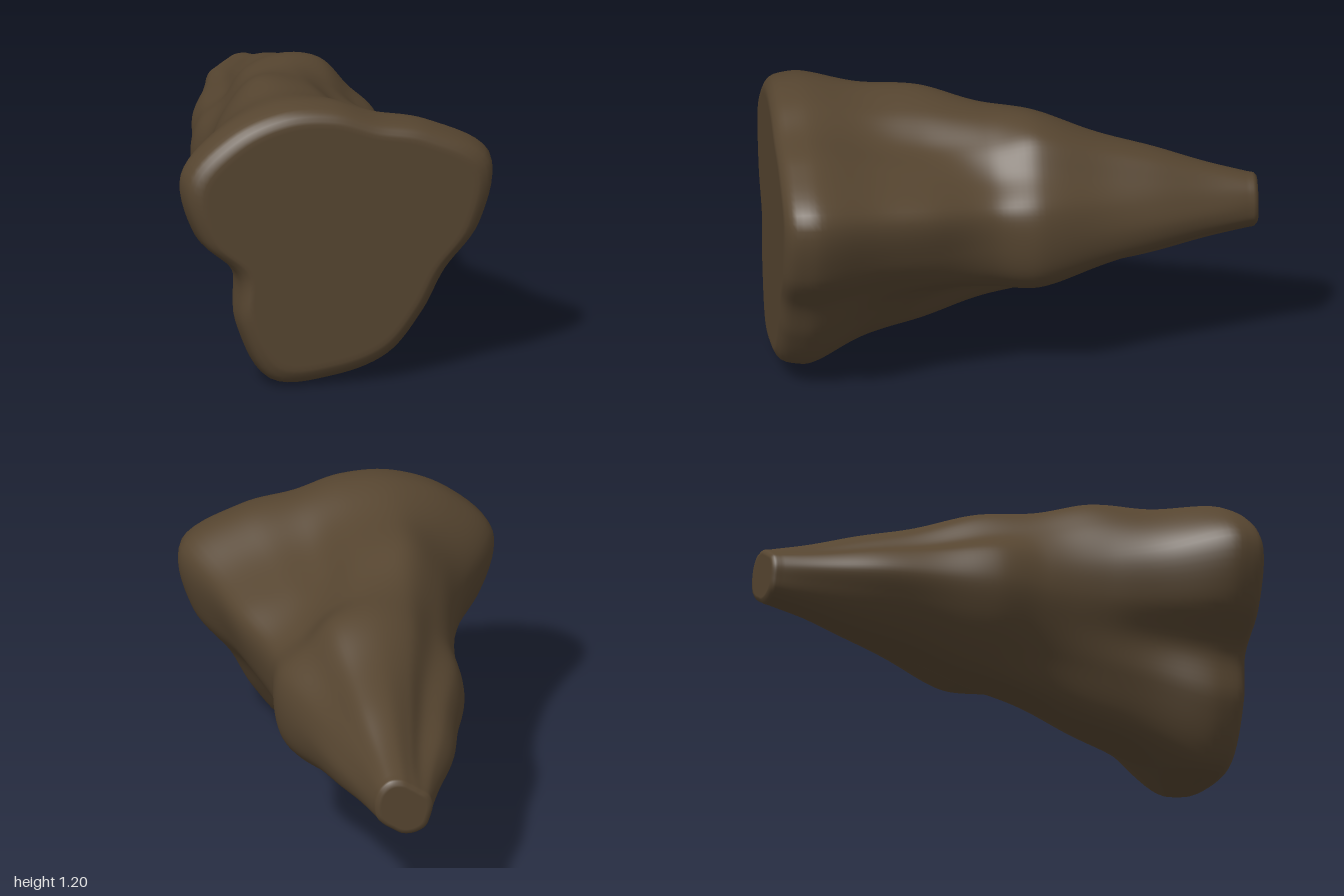
import * as THREE from 'three';

const AXIS_X = -0.03, AXIS_Y = 0.65, SIDES = 112;

// Radii around the long axis, every 22.5 degrees from +x, at stations along z
const sections = [
  { z: -0.97, radii: [.115, .12, .13, .135, .125, .11, .11, .125, .13, .13, .14, .135, .125, .11, .11, .115] },
  { z: -0.55, radii: [.25, .245, .25, .278, .265, .225, .2, .25, .275, .25, .24, .235, .225, .18, .205, .24] },
  { z: -0.1, radii: [.4, .41, .385, .425, .42, .395, .34, .37, .375, .36, .355, .363, .335, .27, .345, .39] },
  { z: 0.12, radii: [.405, .43, .38, .4, .445, .46, .41, .395, .38, .37, .385, .43, .395, .3, .345, .385] },
  { z: 0.4, radii: [.465, .538, .435, .385, .46, .53, .49, .445, .395, .37, .42, .51, .48, .36, .345, .4] },
  { z: 0.87, radii: [.625, .725, .6, .515, .54, .587, .635, .675, .565, .44, .555, .685, .635, .6, .535, .515] },
];

// Smooth change of the radii from station to station, with shallow ripples along the length
function radiiAt(z) {
  const last = sections.length - 1;
  const zc = THREE.MathUtils.clamp(z, sections[0].z, sections[last].z);
  let i = 0;
  while (i < last - 1 && zc > sections[i + 1].z) i++;
  const p = sections[i], q = sections[i + 1], h = q.z - p.z;
  const t = (zc - p.z) / h, t2 = t * t, t3 = t2 * t;
  const slope = (k, c) => {
    const a = sections[Math.max(k - 1, 0)], b = sections[Math.min(k + 1, last)];
    return (k === last ? 0.5 : 1) * (b.radii[c] - a.radii[c]) / (b.z - a.z);
  };
  const ripple = 1 - 0.017 * (1 - Math.cos(2 * Math.PI * (zc + 0.1) / 0.48));
  return p.radii.map((r, c) => ripple * ((2 * t3 - 3 * t2 + 1) * r + (t3 - 2 * t2 + t) * h * slope(i, c)
    + (3 * t2 - 2 * t3) * q.radii[c] + (t3 - t2) * h * slope(i + 1, c)));
}

// Closed ring at z; the rims of both ends are rounded over
function ringAt(z, scale = 1) {
  const f = Math.max(0, (z - 0.83) / 0.17), b = Math.max(0, (-z - 0.95) / 0.05);
  const rim = scale * (1 - 0.04 * f ** 2 - 0.08 * f ** 10 - 0.14 * b ** 6);
  const points = radiiAt(z).map((r, i) => {
    const a = i * Math.PI / 8;
    return new THREE.Vector3(AXIS_X + r * rim * Math.cos(a), AXIS_Y + r * rim * Math.sin(a), z);
  });
  const curve = new THREE.CatmullRomCurve3(points, true, 'catmullrom', 0.5);
  return Array.from({ length: SIDES }, (_, j) => curve.getPoint(j / SIDES));
}

export function createModel() {
  const rings = [];

  // Front cap, front rim, body, tip rim, back cap
  for (const s of [0, 0.4, 0.8, 0.96]) rings.push(ringAt(1, s));
  for (const z of [1, 0.995, 0.985, 0.97, 0.95]) rings.push(ringAt(z));
  for (let i = 0; i <= 74; i++) rings.push(ringAt(0.925 - i * 0.025));
  for (const z of [-0.95, -0.965, -0.98, -0.99, -1]) rings.push(ringAt(z));
  for (const s of [0.9, 0.5, 0]) rings.push(ringAt(-1, s));

  const position = [], index = [];
  rings.forEach((ring, r) => ring.forEach((p, j) => {
    position.push(p.x, p.y, p.z);
    if (r === rings.length - 1) return;
    const a = r * SIDES + j, b = r * SIDES + (j + 1) % SIDES;
    index.push(a, a + SIDES, b, b, a + SIDES, b + SIDES);
  }));
  const geometry = new THREE.BufferGeometry();
  geometry.setAttribute('position', new THREE.Float32BufferAttribute(position, 3));
  geometry.setIndex(index);
  geometry.computeVertexNormals();

  const rock = new THREE.Mesh(geometry, new THREE.MeshStandardMaterial({ color: 0x564530 }));
  rock.name = 'rockBody';
  const group = new THREE.Group();
  group.name = 'taperedRock';
  group.add(rock);
  return group;
}
